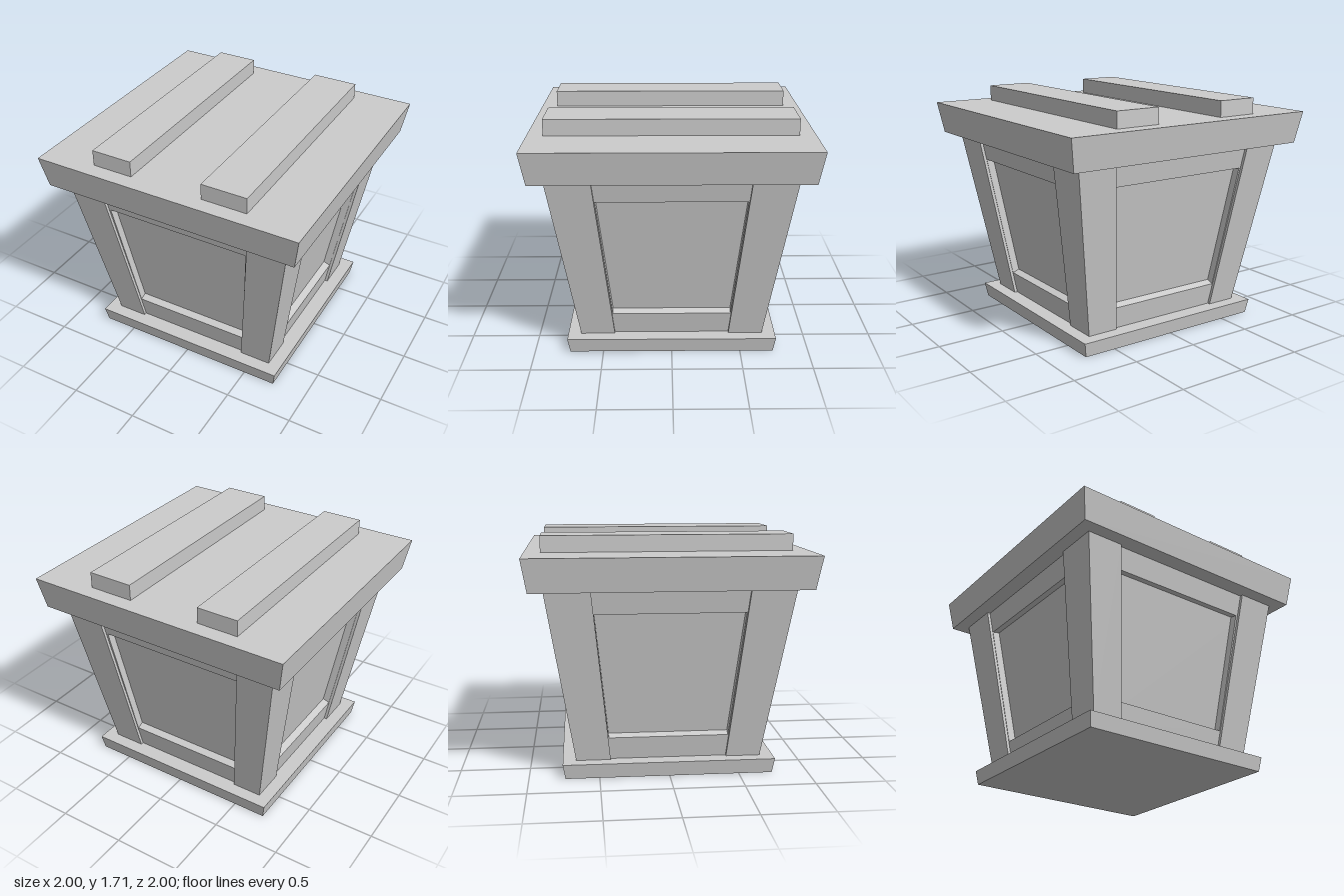
import * as THREE from 'three';

const material = new THREE.MeshStandardMaterial({ color: 0xcccccc, flatShading: true });

// Body proportions: the walls flare outwards from bottom to top
const Y0 = 0.107, Y1 = 1.357;
const HALF0 = 0.665, HALF1 = 0.865;
const SLOPE = (HALF1 - HALF0) / (Y1 - Y0);
const RAIL_INSET = 0.022, PANEL_DEPTH = 0.055;
const SILL_Y = 0.27, SILL_RISE = 0.011;

// Four-sided block between two rectangles [x0, x1, z0, z1]
function loft(name, y0, y1, bottom, top) {
  const geometry = new THREE.BoxGeometry(1, 1, 1);
  const p = geometry.attributes.position;
  for (let i = 0; i < p.count; i++) {
    const r = p.getY(i) > 0 ? top : bottom;
    p.setXYZ(i, p.getX(i) > 0 ? r[1] : r[0], p.getY(i) > 0 ? y1 : y0, p.getZ(i) > 0 ? r[3] : r[2]);
  }
  geometry.computeVertexNormals();
  const mesh = new THREE.Mesh(geometry, material);
  mesh.name = name;
  return mesh;
}

const square = (h) => [-h, h, -h, h];

// Rectangle between two x values and two z values in either order
const rect = (xa, xb, za, zb) =>
  [Math.min(xa, xb), Math.max(xa, xb), Math.min(za, zb), Math.max(za, zb)];

// Tilted frame with a tapered opening; each corner is [x, y]
function wallFrame(name, opening, outerBottom, outerTop) {
  const tilt = Math.atan(SLOPE);
  const along = (y) => (y - Y0) / Math.cos(tilt);
  const toPoints = (list) => list.map(([x, y]) => new THREE.Vector2(x, along(y)));
  const shape = new THREE.Shape(toPoints([
    [-outerBottom, Y0], [outerBottom, Y0], [outerTop, Y1], [-outerTop, Y1],
  ]));
  shape.holes.push(new THREE.Path(toPoints(opening)));
  const geometry = new THREE.ExtrudeGeometry(shape, { depth: PANEL_DEPTH, bevelEnabled: false });
  geometry.translate(0, 0, -PANEL_DEPTH);
  // Raise the inner edge of the sill so that it slopes outwards
  const p = geometry.attributes.position;
  for (let i = 0; i < p.count; i++) {
    if (p.getZ(i) < -0.01 && Math.abs(p.getY(i) - along(SILL_Y)) < 0.001) {
      p.setY(i, p.getY(i) + SILL_RISE);
    }
  }
  geometry.computeVertexNormals();
  geometry.rotateX(tilt);
  geometry.translate(0, Y0, HALF0 - RAIL_INSET);
  const mesh = new THREE.Mesh(geometry, material);
  mesh.name = name;
  return mesh;
}

export function createModel() {
  const model = new THREE.Group();
  model.name = 'crate';

  // Base plinth and lid
  model.add(loft('base', 0, Y0, square(0.742), square(0.76)));
  model.add(loft('lid', Y1, 1.59, square(0.961), square(1)));

  // Planks across the lid
  for (const [x0, x1] of [[-0.605, -0.299], [0.246, 0.584]]) {
    const r = [x0, x1, -0.885, 0.885];
    model.add(loft('lidPlank', 1.59, 1.707, r, r));
  }

  // Inner body, whose faces are the recessed panels
  const inset = RAIL_INSET + PANEL_DEPTH;
  model.add(loft('panels', Y0, Y1, square(HALF0 - inset), square(HALF1 - inset)));

  // Corner posts
  for (const sx of [-1, 1]) {
    const [ex0, ex1] = sx < 0 ? [-0.442, -0.588] : [0.43, 0.575];
    for (const sz of [-1, 1]) {
      model.add(loft('cornerPost', Y0, Y1,
        rect(ex0, sx * HALF0, sz * 0.418, sz * HALF0),
        rect(ex1, sx * HALF1, sz * 0.547, sz * HALF1)));
    }
  }

  // Rails framing the panel on each wall: [bottom left, bottom right, top left, top right]
  const walls = [
    ['frontFrame', 0, [-0.457, 0.444, -0.555, 0.54]],
    ['leftFrame', 1, [-0.43, 0.43, -0.525, 0.525]],
    ['backFrame', 2, [-0.444, 0.457, -0.54, 0.555]],
    ['rightFrame', 3, [-0.43, 0.43, -0.525, 0.525]],
  ];
  for (const [name, turn, [bl, br, tl, tr]] of walls) {
    const frame = wallFrame(name, [[bl, SILL_Y], [tl, 1.187], [tr, 1.187], [br, SILL_Y]], 0.5, 0.64);
    frame.rotation.y = turn * Math.PI / 2;
    model.add(frame);
  }

  return model;
}
